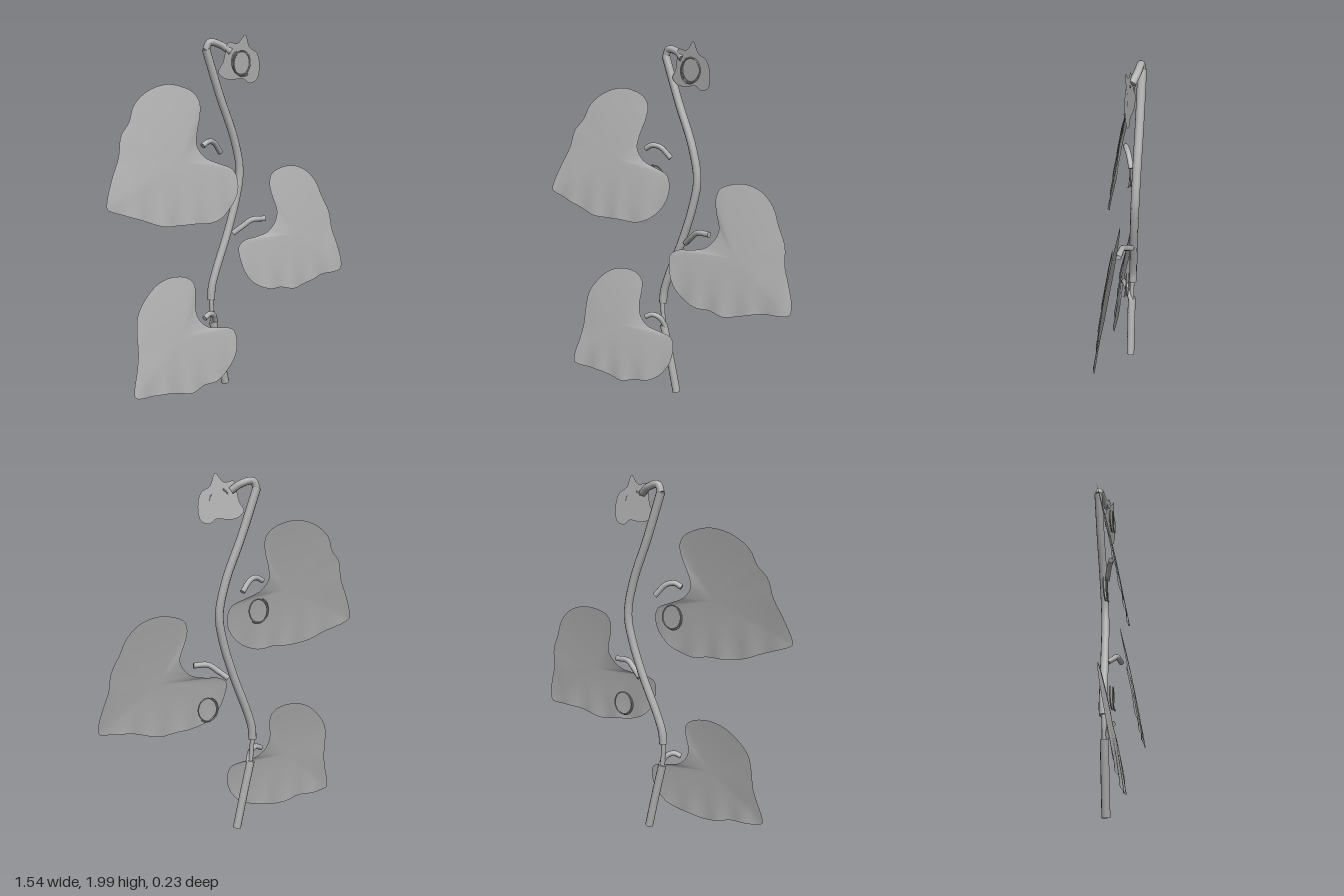
import * as THREE from 'three';

const grey = new THREE.MeshStandardMaterial({ color: 0xb2b2b2, side: THREE.DoubleSide });
grey.name = 'plain grey';

const vec = (p) => new THREE.Vector3(...p);

// Round stalk along a smooth path, with flat caps on both ends
function stalk(name, points, radius, capped = true, segments = 20, sides = 10) {
  const curve = new THREE.CatmullRomCurve3(points.map(vec), false, 'centripetal');
  const group = new THREE.Group();
  group.name = name;
  group.add(new THREE.Mesh(new THREE.TubeGeometry(curve, segments, radius, sides), grey));
  if (capped) {
    for (const t of [0, 1]) {
      const cap = new THREE.Mesh(new THREE.CircleGeometry(radius, sides), grey);
      const dir = curve.getTangent(t).multiplyScalar(t ? 1 : -1);
      cap.position.copy(curve.getPoint(t));
      cap.quaternion.setFromUnitVectors(new THREE.Vector3(0, 0, 1), dir);
      group.add(cap);
    }
  }
  return group;
}

// Thin leaf blade: rings from the centre to a smooth outline, depth set by a rule
function leaf(name, outline, [cx, cy], depth) {
  let pts = outline.map(([x, y]) => new THREE.Vector2(x, y));
  if (THREE.ShapeUtils.area(pts) < 0) pts = pts.reverse();
  const edge = new THREE.CatmullRomCurve3(pts.map((p) => new THREE.Vector3(p.x, p.y, 0)), true);
  const around = 96, rings = 10;
  const rim = Array.from({ length: around }, (_, i) => edge.getPoint(i / around));
  const pos = [cx, cy, depth(cx, cy, 0)], index = [];
  for (let r = 1; r <= rings; r++) {
    const k = r / rings;
    for (let i = 0; i < around; i++) {
      const x = cx + (rim[i].x - cx) * k, y = cy + (rim[i].y - cy) * k;
      pos.push(x, y, depth(x, y, k));
      const j = (i + 1) % around, a = 1 + (r - 1) * around, b = a - around;
      if (r === 1) index.push(0, a + i, a + j);
      else index.push(b + i, a + i, a + j, b + i, a + j, b + j);
    }
  }
  const geo = new THREE.BufferGeometry();
  geo.setAttribute('position', new THREE.Float32BufferAttribute(pos, 3));
  geo.setIndex(index);
  geo.computeVertexNormals();
  const mesh = new THREE.Mesh(geo, grey);
  mesh.name = name;
  return mesh;
}

// Leaning blade with a slight bow and soft creases near its lower edge
const lean = (yLow, yHigh, zLow, zHigh) => (x, y, k) => {
  const t = (y - yLow) / (yHigh - yLow);
  const crease = 0.006 * Math.sin(x * 38) * k * k * Math.max(0, 1 - 2 * t);
  return zLow + (zHigh - zLow) * t + 0.012 * (1 - k * k) - 0.006 + crease;
};

// Small coiled tendril
function tendril(name, x, y, z) {
  const pts = [];
  for (let i = 0; i <= 30; i++) {
    const t = i / 30, a = 1.9 + t * Math.PI * 3.1;
    pts.push([x + 0.056 * Math.cos(a), y + 0.066 * Math.sin(a) - 0.012 * t, z + 0.024 * (t - 0.5)]);
  }
  return stalk(name, pts, 0.004, false, 60, 6);
}

export function createModel() {
  const model = new THREE.Group();
  model.name = 'climbing vine';

  // Stem
  model.add(
    stalk('lowerStem', [[0.01, 0.01, -0.055], [-0.03, 0.2, -0.055], [-0.075, 0.4, -0.055]], 0.023),
    stalk('stemNeck', [[-0.073, 0.39, -0.055], [-0.08, 0.46, -0.055], [-0.085, 0.57, -0.06]], 0.013),
    stalk('mainStem', [[-0.083, 0.53, -0.06], [-0.077, 0.6, -0.062], [-0.045, 0.7, -0.064], [0.035, 0.9, -0.07],
      [0.1, 1.1, -0.075], [0.125, 1.25, -0.08], [0.09, 1.43, -0.085], [0, 1.67, -0.092],
      [-0.085, 1.92, -0.097]], 0.023, true, 48),
    stalk('topBranch', [[-0.085, 1.915, -0.097], [-0.065, 1.955, -0.092], [0, 1.94, -0.078], [0.045, 1.905, -0.055]], 0.02)
  );

  // Leaf stalks
  model.add(
    stalk('upperLeafStalk', [[-0.165, 1.415, -0.01], [-0.125, 1.435, -0.015], [-0.08, 1.425, -0.03], [-0.025, 1.365, -0.05]], 0.015),
    stalk('middleLeafStalk', [[0.245, 0.97, 0], [0.165, 0.97, -0.015], [0.115, 0.935, -0.035], [0.065, 0.895, -0.06]], 0.016),
    stalk('lowerLeafStalk', [[-0.165, 0.45, 0], [-0.125, 0.465, -0.012], [-0.085, 0.445, -0.03], [-0.06, 0.39, -0.052]], 0.015)
  );

  // Large leaves
  model.add(leaf('upperLeaf', [
    [-0.77, 1.18], [-0.77, 1.15], [-0.68, 1.11], [-0.585, 1.075], [-0.47, 1.03], [-0.36, 1.02], [-0.28, 1.02],
    [-0.18, 1.01], [-0.07, 1.05], [0.01, 1.14], [0.024, 1.22], [0, 1.28], [-0.09, 1.32], [-0.165, 1.355],
    [-0.21, 1.42], [-0.2, 1.49], [-0.17, 1.58], [-0.165, 1.65], [-0.2, 1.7], [-0.28, 1.735], [-0.36, 1.745],
    [-0.47, 1.715], [-0.56, 1.645], [-0.595, 1.566], [-0.65, 1.5], [-0.675, 1.4], [-0.73, 1.285],
  ], [-0.33, 1.35], lean(1.02, 1.74, 0.09, -0.05)));
  model.add(leaf('middleLeaf', [
    [0.765, 0.66], [0.755, 0.615], [0.695, 0.605], [0.59, 0.6], [0.51, 0.58], [0.395, 0.555], [0.3, 0.575],
    [0.22, 0.58], [0.125, 0.62], [0.06, 0.69], [0.03, 0.78], [0.03, 0.845], [0.075, 0.875], [0.165, 0.885],
    [0.245, 0.905], [0.3, 0.96], [0.315, 1.01], [0.29, 1.1], [0.28, 1.165], [0.3, 1.22], [0.37, 1.25],
    [0.455, 1.255], [0.55, 1.22], [0.62, 1.145], [0.655, 1.06], [0.7, 0.96], [0.71, 0.86], [0.74, 0.765],
  ], [0.43, 0.87], lean(0.56, 1.26, 0.105, -0.015)));
  model.add(leaf('lowerLeaf', [
    [-0.64, 0.16], [-0.64, 0.115], [-0.595, 0.1], [-0.52, 0.095], [-0.44, 0.09], [-0.36, 0.07], [-0.285, 0.06],
    [-0.205, 0.08], [-0.125, 0.09], [-0.045, 0.13], [0.02, 0.215], [0.035, 0.305], [0.015, 0.355], [-0.07, 0.38],
    [-0.15, 0.4], [-0.2, 0.45], [-0.215, 0.51], [-0.205, 0.6], [-0.21, 0.65], [-0.255, 0.69], [-0.35, 0.705],
    [-0.44, 0.68], [-0.52, 0.615], [-0.575, 0.535], [-0.59, 0.44], [-0.595, 0.335], [-0.615, 0.245],
  ], [-0.33, 0.38], lean(0.07, 0.7, 0.07, -0.04)));

  // Young leaf at the top
  model.add(leaf('youngLeaf', [
    [0.125, 1.995], [0.155, 1.93], [0.205, 1.895], [0.225, 1.815], [0.21, 1.75], [0.165, 1.735], [0.125, 1.76],
    [0.06, 1.755], [0.01, 1.765], [-0.025, 1.8], [0, 1.85], [0.01, 1.9], [0.025, 1.955], [0.08, 1.95],
  ], [0.1, 1.85], (x, y) => -0.047 + 0.13 * (x - 0.1) + 0.1 * (y - 1.85)));

  // Tendrils
  model.add(
    tendril('upperTendril', -0.125, 1.26, -0.042),
    tendril('middleTendril', 0.18, 0.73, -0.042),
    tendril('topTendril', 0.105, 1.85, -0.035)
  );
  return model;
}
